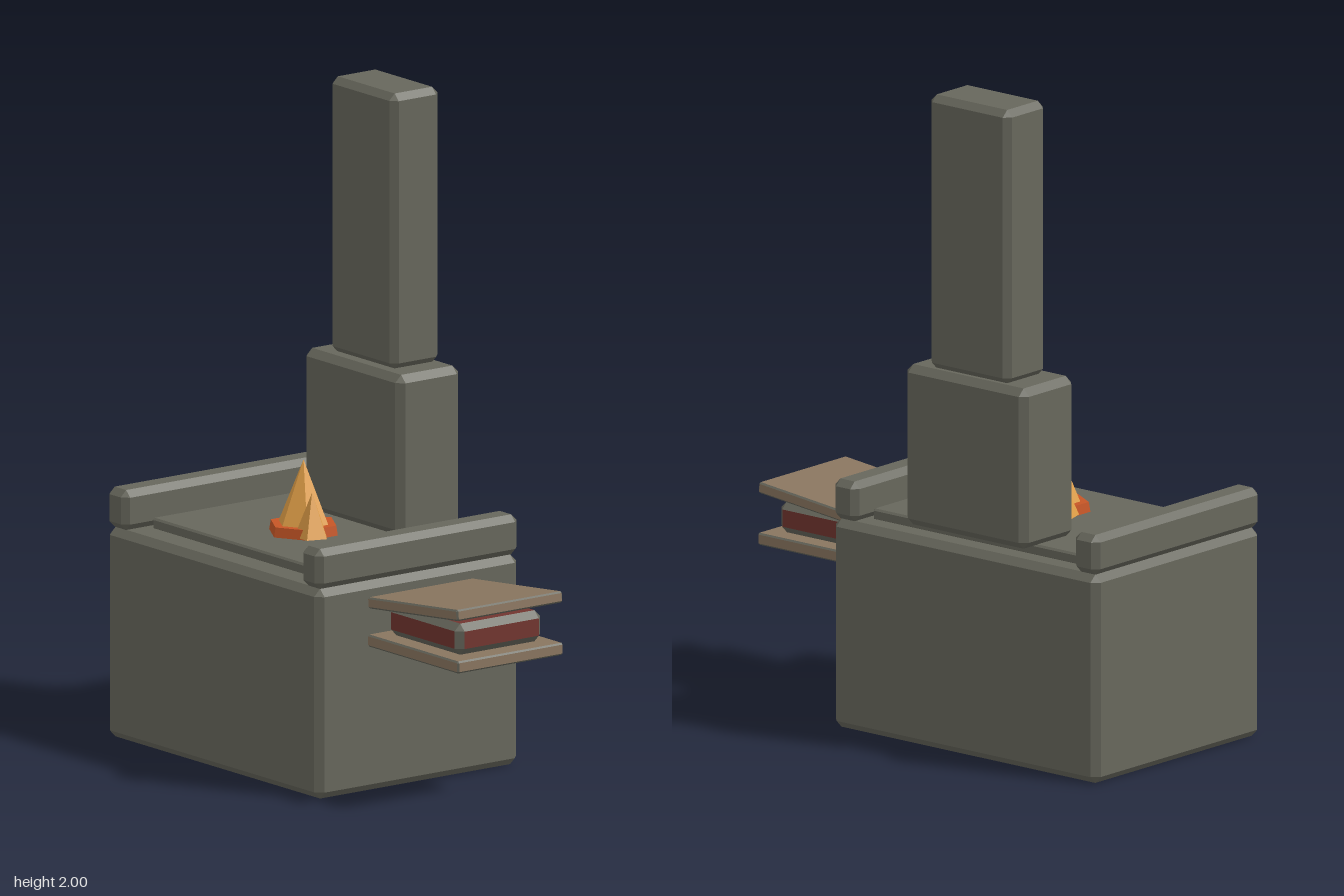
import * as THREE from 'three';
import { ConvexGeometry } from 'three/addons/geometries/ConvexGeometry.js';

const material = (name, color) => {
  const m = new THREE.MeshStandardMaterial({ color, flatShading: true });
  m.name = name;
  return m;
};

// Box centred on the origin with all edges chamfered by c.
// Material group 0 holds the six flat faces, group 1 the chamfers.
function chamferBox(w, h, d, c) {
  const half = [w / 2, h / 2, d / 2];
  const points = [];
  for (const sx of [-1, 1]) for (const sy of [-1, 1]) for (const sz of [-1, 1]) {
    const s = [sx, sy, sz];
    for (let axis = 0; axis < 3; axis++) {
      points.push(new THREE.Vector3(...half.map((v, i) => s[i] * (i === axis ? v : v - c))));
    }
  }
  const geometry = new ConvexGeometry(points);
  const normal = geometry.attributes.normal;
  for (let i = 0; i < normal.count; i += 3) {
    const largest = Math.max(Math.abs(normal.getX(i)), Math.abs(normal.getY(i)), Math.abs(normal.getZ(i)));
    geometry.addGroup(i, 3, largest > 0.99 ? 0 : 1);
  }
  return geometry;
}

export function createModel() {
  const group = new THREE.Group();
  group.name = 'forge';

  const stone = material('stone', 0x67675c);
  const wood = material('wood', 0x89755f);
  const leather = material('leather', 0x71352f);
  const ember = material('ember', 0xc65626);
  const flame = material('flame', 0xe2a048);

  // Adds a chamfered block from its x, y and z ranges
  function block(name, [x0, x1], [y0, y1], [z0, z1], chamfer, face = stone, tilt = 0) {
    const geometry = chamferBox(x1 - x0, y1 - y0, z1 - z0, chamfer);
    const mesh = new THREE.Mesh(geometry, [face, stone]);
    mesh.name = name;
    mesh.position.set((x0 + x1) / 2, (y0 + y1) / 2, (z0 + z1) / 2);
    mesh.rotation.z = tilt;
    group.add(mesh);
  }

  // Masonry
  block('base', [-0.74, 0.295], [0, 0.64], [-0.378, 0.378], 0.022);
  block('hearthSlab', [-0.64, 0.2], [0.635, 0.671], [-0.3, 0.28], 0.006);
  block('rightRail', [-0.74, -0.645], [0.64, 0.762], [-0.378, 0.378], 0.02);
  block('leftRail', [0.2, 0.295], [0.64, 0.762], [-0.378, 0.378], 0.02);
  block('hood', [-0.46, 0.015], [0.67, 1.162], [-0.378, -0.142], 0.022);
  block('chimney', [-0.38, -0.065], [1.16, 2], [-0.36, -0.18], 0.02);

  // Bellows
  block('bellowsLowerBoard', [0.297, 0.737], [0.445, 0.482], [-0.198, 0.198], 0.005, wood);
  block('bellowsBag', [0.343, 0.693], [0.483, 0.578], [-0.16, 0.16], 0.021, leather);
  block('bellowsUpperBoard', [0.297, 0.735], [0.583, 0.617], [-0.198, 0.198], 0.005, wood, 0.1);

  // Fire
  const embers = new THREE.Mesh(new THREE.CylinderGeometry(0.105, 0.11, 0.03, 6), ember);
  embers.name = 'emberBed';
  embers.position.set(-0.22, 0.686, 0.037);
  group.add(embers);

  const flames = [
    { name: 'mainFlame', x: -0.22, z: 0.037, radius: 0.09, top: 0.893, sides: 6, turn: 0 },
    { name: 'leftFlame', x: -0.145, z: 0.063, radius: 0.053, top: 0.81, sides: 5, turn: Math.PI },
    { name: 'rightFlame', x: -0.29, z: -0.005, radius: 0.05, top: 0.79, sides: 5, turn: Math.PI },
  ];
  for (const f of flames) {
    const height = f.top - 0.675;
    const mesh = new THREE.Mesh(new THREE.ConeGeometry(f.radius, height, f.sides), flame);
    mesh.name = f.name;
    mesh.position.set(f.x, 0.675 + height / 2, f.z);
    mesh.rotation.y = f.turn;
    group.add(mesh);
  }

  return group;
}
